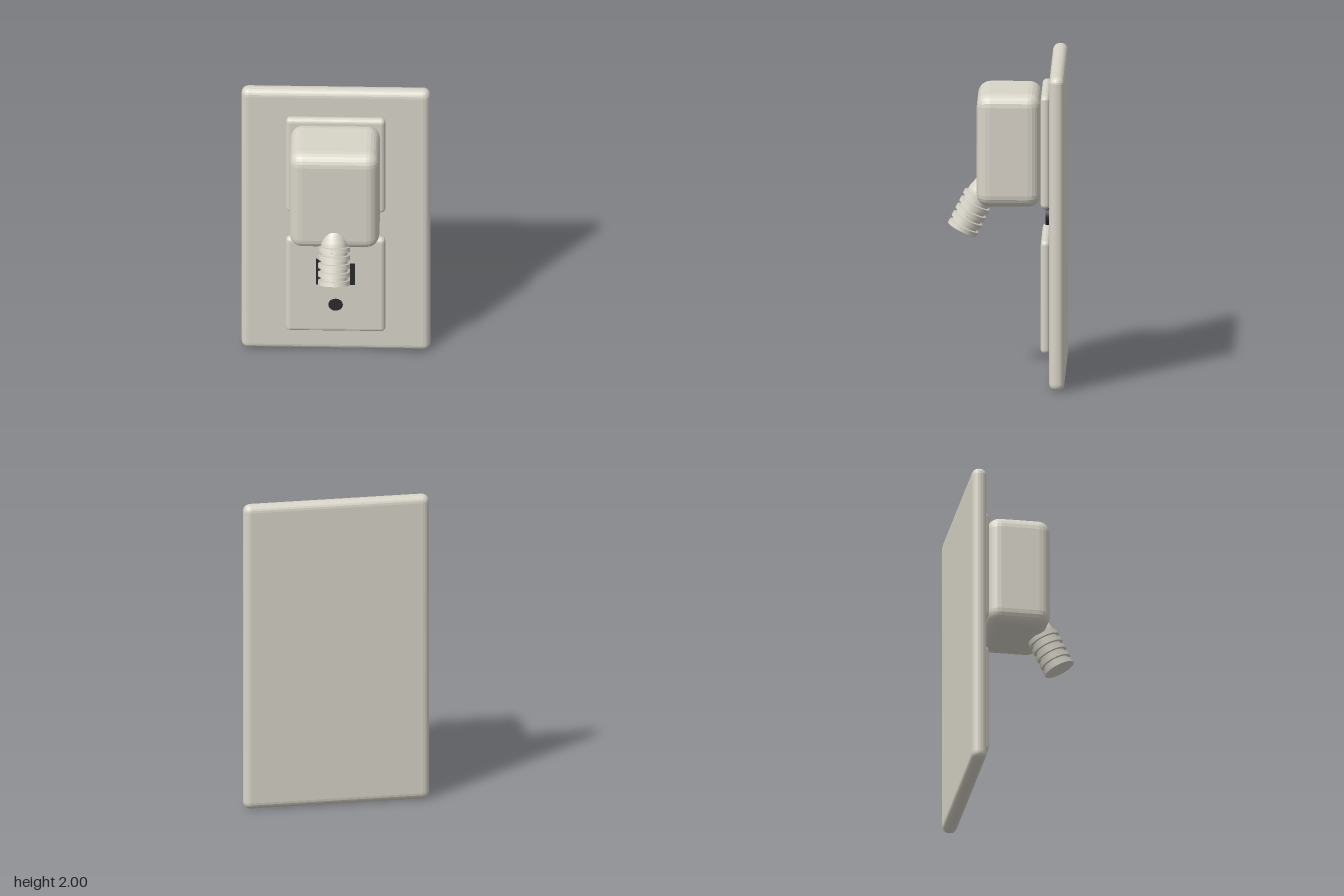
import * as THREE from 'three';
import { toCreasedNormals } from 'three/addons/utils/BufferGeometryUtils.js';
import { RoundedBoxGeometry } from 'three/addons/geometries/RoundedBoxGeometry.js';

export function createModel() {
  const group = new THREE.Group();
  const ivory = new THREE.MeshStandardMaterial({ name: 'ivory plastic', color: 0xd8d4c8, flatShading: true });
  const ivorySmooth = new THREE.MeshStandardMaterial({ name: 'ivory cord plastic', color: 0xd8d4c8 });
  const dark = new THREE.MeshStandardMaterial({ name: 'dark openings', color: 0x2b2b2d });

  const add = (name, geometry, material, x, y, z) => {
    const mesh = new THREE.Mesh(geometry, material);
    mesh.name = name;
    mesh.position.set(x, y, z);
    group.add(mesh);
    return mesh;
  };

  // Wall plate
  add('wallPlate', new RoundedBoxGeometry(1.18, 2, 0.095, 3, 0.045), ivory, 0, 1, -0.322);

  // Two raised sockets
  for (const [name, y] of [['lowerSocket', 0.545], ['upperSocket', 1.465]]) {
    add(name, new RoundedBoxGeometry(0.62, 0.72, 0.058, 3, 0.028), ivory, 0, y, -0.245);
  }

  // Openings of the free socket
  add('wideSlot', new THREE.BoxGeometry(0.032, 0.195, 0.008), dark, -0.106, 0.655, -0.216);
  add('narrowSlot', new THREE.BoxGeometry(0.032, 0.162, 0.008), dark, 0.105, 0.638, -0.216);
  add('groundHole', new THREE.CylinderGeometry(0.045, 0.045, 0.008, 24).rotateX(Math.PI / 2), dark, 0, 0.4, -0.216);

  // Screw between the sockets
  add('screw', new THREE.CylinderGeometry(0.06, 0.06, 0.035, 20).rotateX(Math.PI / 2), dark, 0, 1.008, -0.259);

  // Adapter body
  add('adapter', new RoundedBoxGeometry(0.56, 0.72, 0.4, 3, 0.08), ivory, 0, 1.465, -0.015);

  // Ribbed strain relief, from its free end up into the adapter
  const profile = [[0, 0]];
  for (let i = 0; i < 5; i++) {
    const t = i * 0.053;
    profile.push([0.1, t], [0.1, t + 0.028], [0.084, t + 0.031], [0.084, t + 0.05]);
  }
  profile.push([0.083, 0.27], [0.066, 0.335], [0.05, 0.36], [0, 0.36]);
  const relief = toCreasedNormals(
    new THREE.LatheGeometry(profile.map(([r, t]) => new THREE.Vector2(r, t)), 24), 0.6);
  add('strainRelief', relief, ivorySmooth, 0, 0.92, 0.28).rotation.x = -0.464;

  return group;
}
